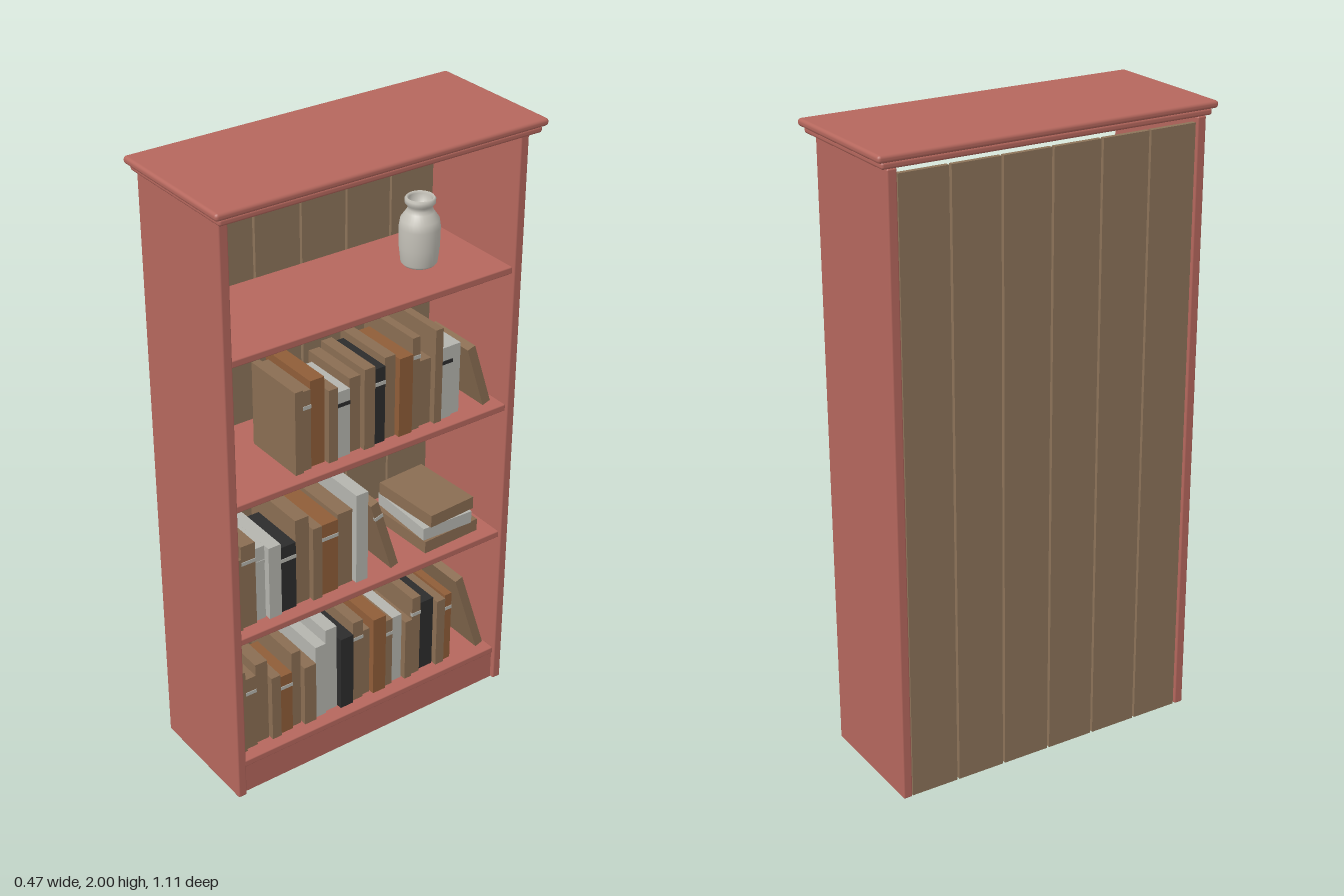
import * as THREE from 'three';
import { RoundedBoxGeometry } from 'three/addons/geometries/RoundedBoxGeometry.js';

const mat = (name, color) => Object.assign(new THREE.MeshStandardMaterial({ color }), { name });

export function createModel() {
  const M = {
    paint: mat('red paint', 0xb5675d),
    plank: mat('back wood', 0x8c7359),
    t: mat('tan cover', 0x8a6d52),
    o: mat('orange brown cover', 0x8f5d38),
    g: mat('grey cover', 0xb4b4ae),
    k: mat('black cover', 0x2c2c2c),
    vase: mat('vase glaze', 0xc4c1b8),
  };
  const root = new THREE.Group();
  root.name = 'bookcase';

  // Box given by its minimum and maximum corners, optionally with rounded edges
  const box = (name, material, [x0, y0, z0], [x1, y1, z1], r = 0, parent = root) => {
    const s = [x1 - x0, y1 - y0, z1 - z0];
    const geo = r ? new RoundedBoxGeometry(...s, 2, r) : new THREE.BoxGeometry(...s);
    const mesh = new THREE.Mesh(geo, material);
    mesh.name = name;
    mesh.position.set((x0 + x1) / 2, (y0 + y1) / 2, (z0 + z1) / 2);
    parent.add(mesh);
    return mesh;
  };

  // Carcass: the open side faces +x
  for (const [name, z] of [['leftEndPanel', 0.492], ['rightEndPanel', -0.522]])
    box(name, M.paint, [-0.22, 0, z], [0.19, 1.957, z + 0.03], 0.005);
  box('crownMoulding', M.paint, [-0.225, 1.957, -0.54], [0.225, 1.978, 0.54], 0.008);
  box('crownTop', M.paint, [-0.235, 1.977, -0.555], [0.235, 2, 0.555], 0.01);
  box('kickBoard', M.paint, [0.155, 0, -0.492], [0.175, 0.11, 0.492]);

  const shelves = [0.127, 0.594, 1.064, 1.533];
  for (const y of shelves)
    box('shelf', M.paint, [-0.2, y - 0.023, -0.492], [0.182, y, 0.492], 0.004);

  // Back planks with narrow gaps between them
  const pitch = 0.164;
  for (let i = 0; i < 6; i++) {
    const z = -0.492 + i * pitch;
    box('backPlank', M.plank, [-0.215, 0, z + 0.004], [-0.2, 1.94, z + pitch - 0.004]);
  }

  // Books: U scales the listed thickness and height
  const U = 0.0053;
  const FRONT = 0.145;
  const book = (parent, cover, band, y, z, w, h, front) => {
    const depth = Math.min(0.28, 0.07 + h * 0.55);
    box('book', M[cover], [front - depth, y, z - w], [front, y + h, z], 0, parent);
    if (band) {
      const by = y + h * 0.77;
      box('spineBand', M[band], [front - 0.008, by, z - w - 0.0008], [front + 0.002, by + 0.012, z + 0.0008], 0, parent);
    }
  };

  // Each row: shelf, start z, covers, bands ('-' none), thicknesses, heights,
  // and the leaning book's [z, tilt, height, band]
  const rows = [
    { y: shelves[0], z: 0.49,
      covers: 'ttttottggkttotgttkto', bands: '-g--g-----g--g--g--g',
      w: [7, 8, 9, 7, 9, 7, 9, 8, 9, 10, 8, 6, 10, 6, 8, 6, 7, 11, 7, 6],
      h: [58, 51, 57, 45, 42, 54, 42, 52, 60, 51, 58, 48, 55, 49, 48, 43, 57, 50, 48, 49],
      lean: [-0.448, 0.31, 60, null] },
    { y: shelves[1], z: 0.485,
      covers: 'ttggkttotg', bands: '-gg-g--g--',
      w: [6, 10, 7, 9, 11, 10, 7, 12, 11, 9],
      h: [48, 55, 49, 48, 44, 57, 49, 48, 50, 60],
      lean: [-0.088, 0.3, 51, 'g'] },
    { y: shelves[2], z: 0.262,
      covers: 'ttotgttktotttgg'.replace(' ', ''), bands: '-g--k--g--g--k-',
      w: [6, 6, 10, 7, 9, 8, 8, 8, 8, 10, 6, 9, 6, 8, 7],
      h: [52, 50, 54, 46, 42, 47, 51, 48, 52, 50, 59, 42, 60, 46, 45],
      lean: [-0.432, 0.31, 42, null] },
  ];
  for (const row of rows) {
    const group = new THREE.Group();
    group.name = 'bookRow';
    let z = row.z;
    row.w.forEach((w, i) => {
      const band = row.bands[i] === '-' ? null : row.bands[i];
      const front = FRONT - 0.008 * ((i * 7) % 3);
      book(group, row.covers[i], band, row.y, z, (w - 0.8) * U, row.h[i] * U, front);
      z -= w * U;
    });
    const [lz, tilt, h, band] = row.lean;
    const leaning = new THREE.Group();
    leaning.name = 'leaningBook';
    leaning.position.set(0, row.y, lz);
    leaning.rotation.x = tilt;
    book(leaning, 't', band, 0, 0, 5.5 * U, h * U, FRONT);
    group.add(leaning);
    root.add(group);
  }

  // Flat stack of three books
  const stack = [['t', -0.433, -0.218, 0.04], ['g', -0.412, -0.226, -0.04], ['t', -0.412, -0.236, 0.06]];
  stack.forEach(([cover, z0, z1, turn], i) => {
    const y = shelves[1] + i * 0.045;
    box('stackedBook', M[cover], [-0.11, y, z0], [0.14, y + 0.043, z1]).rotation.y = turn;
  });

  // Vase
  const profile = [[0, 0], [0.048, 0], [0.055, 0.008], [0.061, 0.06], [0.062, 0.12], [0.058, 0.145],
    [0.042, 0.168], [0.037, 0.178], [0.038, 0.188], [0.046, 0.196], [0.046, 0.208], [0.041, 0.214],
    [0.034, 0.208], [0.034, 0.17], [0, 0.165]];
  const vase = new THREE.Mesh(
    new THREE.LatheGeometry(profile.map(([r, y]) => new THREE.Vector2(r, y)), 32), M.vase);
  vase.name = 'vase';
  vase.position.set(0, shelves[3], -0.284);
  root.add(vase);

  return root;
}
